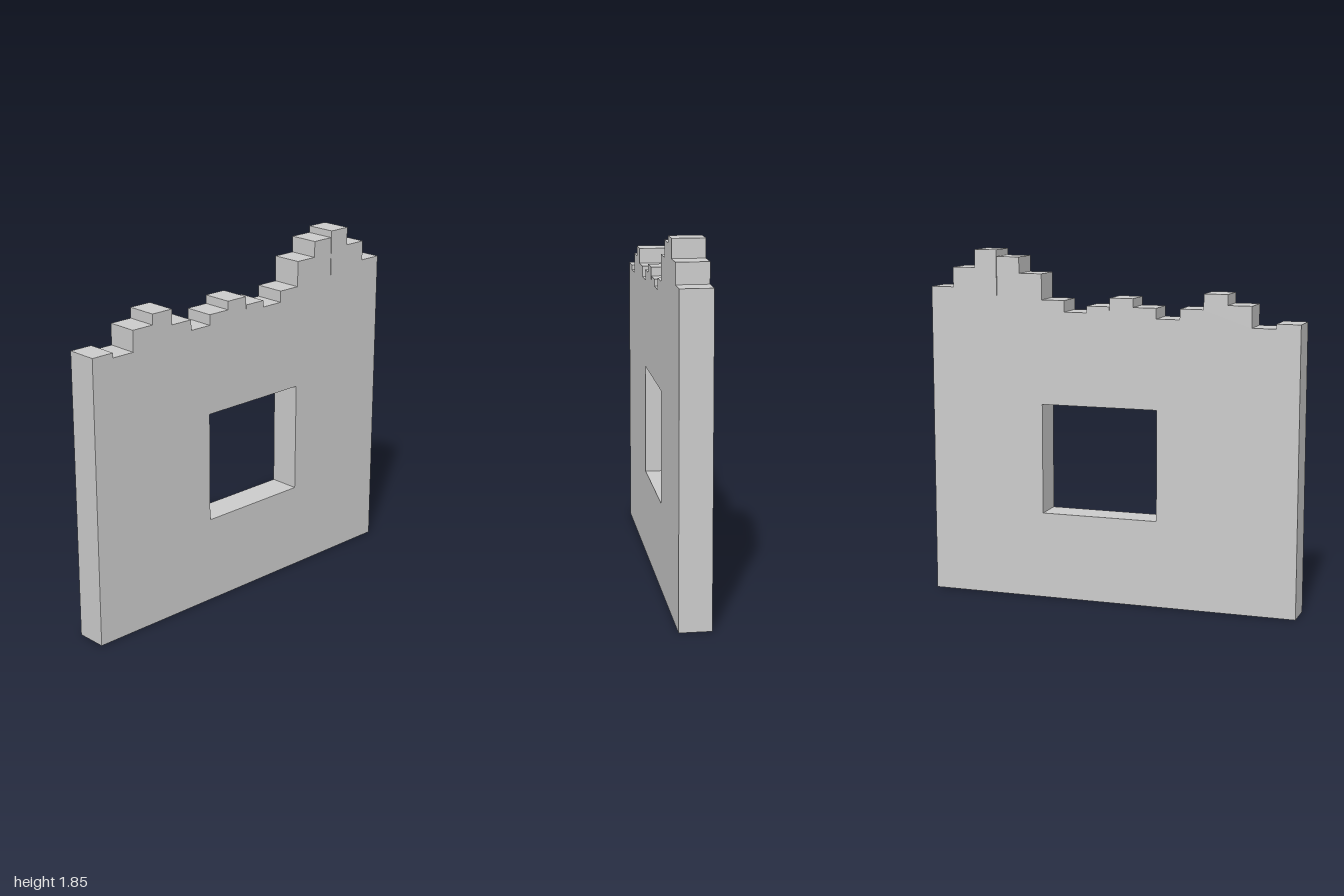
import * as THREE from 'three';

const THICKNESS = 0.163;
const STEP = 0.125;
// Heights of the broken top, from the front end (+z) to the back end (-z)
const HEIGHTS = [1.51, 1.485, 1.595, 1.65, 1.57, 1.515, 1.57, 1.615,
  1.57, 1.535, 1.595, 1.73, 1.815, 1.85, 1.755, 1.65];
// Hairline cracks: column after which each one runs down, and its lower end
const CRACKS = { 8: 1.55, 13: 1.61 };
const CRACK_WIDTH = 0.003;

export function createModel() {
  const group = new THREE.Group();
  group.name = 'ruinedWall';

  // Side outline: shape x is the model's z
  const outline = new THREE.Shape();
  outline.moveTo(-1, 0);
  outline.lineTo(1, 0);
  HEIGHTS.forEach((h, i) => {
    const start = 1 - i * STEP;
    const end = start - STEP;
    const crackBefore = CRACKS[i] !== undefined;
    outline.lineTo(crackBefore ? start - CRACK_WIDTH : start, h);
    const bottom = CRACKS[i + 1];
    outline.lineTo(end, h);
    if (bottom !== undefined) {
      outline.lineTo(end, bottom);
      outline.lineTo(end - CRACK_WIDTH, bottom);
    }
  });
  outline.closePath();

  // Window opening
  const opening = new THREE.Path();
  opening.moveTo(-0.375, 0.46);
  opening.lineTo(-0.375, 1.045);
  opening.lineTo(0.255, 1.045);
  opening.lineTo(0.255, 0.46);
  opening.closePath();
  outline.holes.push(opening);

  const geometry = new THREE.ExtrudeGeometry(outline, { depth: THICKNESS, bevelEnabled: false });
  geometry.translate(0, 0, -THICKNESS / 2);
  geometry.rotateY(-Math.PI / 2);

  const wall = new THREE.Mesh(geometry, new THREE.MeshStandardMaterial({ color: 0xcccccc, flatShading: true }));
  wall.name = 'wall';
  group.add(wall);
  return group;
}
